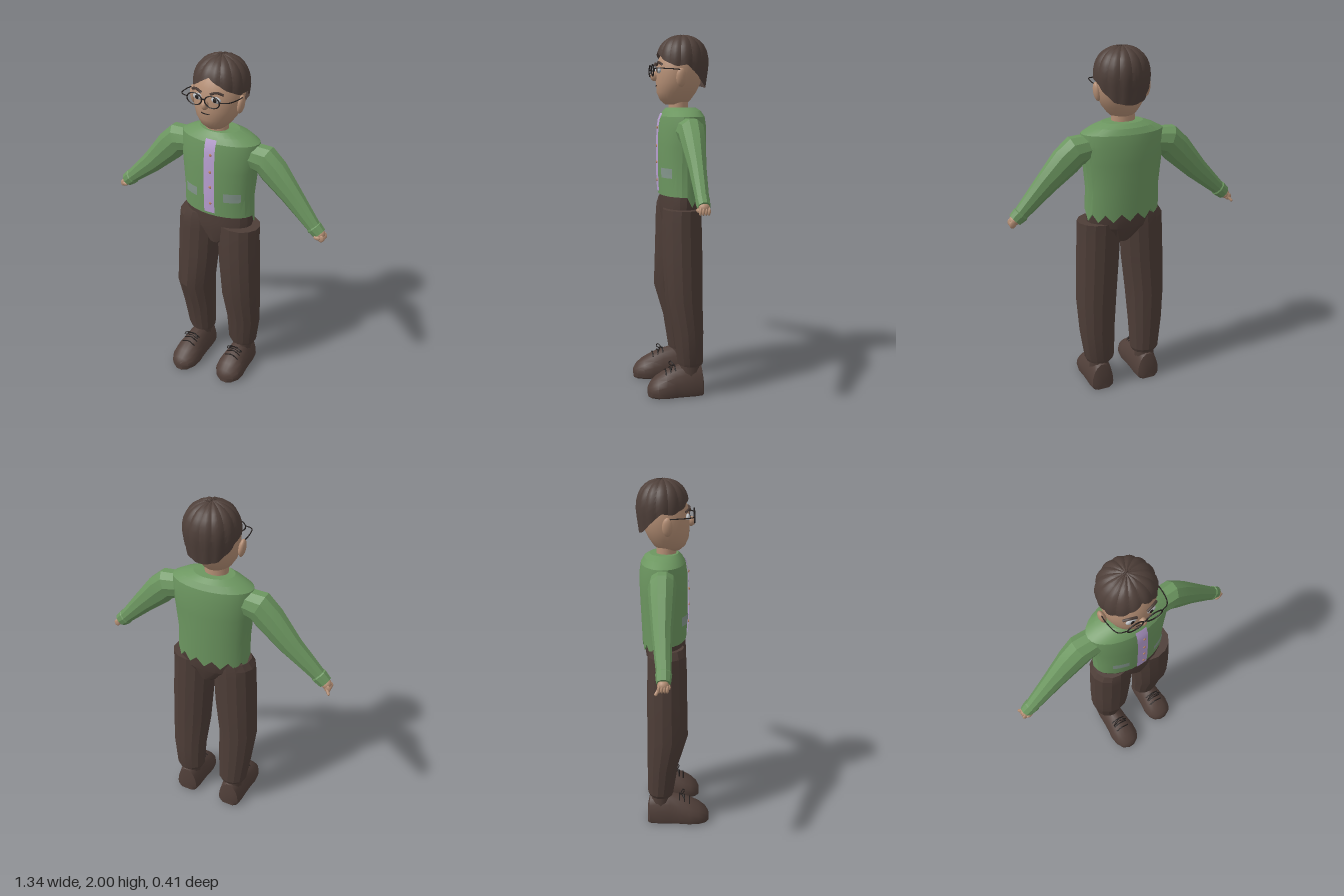
import * as THREE from 'three';
import { toCreasedNormals } from 'three/addons/utils/BufferGeometryUtils.js';

const V = (x, y, z) => new THREE.Vector3(x, y, z);
const mat = (name, color, side = THREE.FrontSide) => {
  const m = new THREE.MeshStandardMaterial({ color, side });
  m.name = name;
  return m;
};

// Skin a stack of closed rings; point(ring, angle, sideIndex) gives each corner
function loft(rings, sides, point, crease = 0.5, caps = true) {
  const pos = [], idx = [], n = rings.length;
  rings.forEach((r, i) => {
    for (let j = 0; j < sides; j++) pos.push(...point(r, (j / sides) * Math.PI * 2, j, i));
  });
  for (let i = 0; i < n - 1; i++) for (let j = 0; j < sides; j++) {
    const k = (j + 1) % sides, a = i * sides + j, b = i * sides + k;
    idx.push(a, b, b + sides, a, b + sides, a + sides);
  }
  if (caps) for (const [row, top] of [[0, false], [n - 1, true]]) {
    const c = pos.length / 3, mid = [0, 0, 0];
    for (let j = 0; j < sides; j++) for (let q = 0; q < 3; q++) mid[q] += pos[(row * sides + j) * 3 + q] / sides;
    pos.push(...mid);
    for (let j = 0; j < sides; j++) {
      const a = row * sides + j, b = row * sides + (j + 1) % sides;
      idx.push(c, top ? a : b, top ? b : a);
    }
  }
  const g = new THREE.BufferGeometry();
  g.setAttribute('position', new THREE.Float32BufferAttribute(pos, 3));
  g.setIndex(idx);
  return toCreasedNormals(g, crease);
}

// Upright oval ring: [y, cx, cz, rx, rz]
const oval = ([y, cx, cz, rx, rz], a) => [cx + rx * Math.sin(a), y, cz + rz * Math.cos(a)];

// Piecewise linear lookup in rows sorted by their first entry
function lookup(rows, t) {
  let i = 0;
  while (i < rows.length - 2 && t > rows[i + 1][0]) i++;
  const a = rows[i], b = rows[i + 1], f = THREE.MathUtils.clamp((t - a[0]) / (b[0] - a[0]), 0, 1);
  return a.map((v, k) => v + (b[k] - v) * f);
}

const JACKET = [
  [1.13, 0.025, -0.055, 0.215, 0.124], [1.25, 0.022, -0.055, 0.211, 0.13], [1.4, 0.022, -0.058, 0.225, 0.133],
  [1.5, 0.025, -0.06, 0.235, 0.132], [1.56, 0.025, -0.06, 0.23, 0.122], [1.59, 0.025, -0.06, 0.175, 0.104],
  [1.61, 0.02, -0.055, 0.115, 0.08],
];

// Thin plate wrapped on the jacket front
function jacketPlate(x0, x1, y0, y1, lift) {
  const g = new THREE.PlaneGeometry(x1 - x0, y1 - y0, 4, 12).translate((x0 + x1) / 2, (y0 + y1) / 2, 0);
  const p = g.attributes.position;
  for (let i = 0; i < p.count; i++) {
    const [, cx, cz, rx, rz] = lookup(JACKET, p.getY(i));
    p.setZ(i, cz + rz * Math.sqrt(Math.max(0, 1 - ((p.getX(i) - cx) / rx) ** 2)) + lift);
  }
  g.computeVertexNormals();
  return g;
}

export function createModel() {
  const model = new THREE.Group();
  const skin = mat('skin', 0xb58f75), green = mat('jacketGreen', 0x6c9660), brown = mat('trouserBrown', 0x4d3d37);
  const hairMat = mat('hairBrown', 0x4e3f39, THREE.DoubleSide), shoeMat = mat('shoeBrown', 0x503f39);
  const lilac = mat('lilac', 0xb9a0d2, THREE.DoubleSide), grey = mat('pocketGrey', 0x84968c, THREE.DoubleSide);
  const dark = mat('darkLine', 0x231e1d), white = mat('eyeGrey', 0xb9bcc0), orange = mat('buttonOrange', 0xb9805f);
  const add = (name, geo, m, p = [0, 0, 0], s = [1, 1, 1], r = [0, 0, 0]) => {
    const o = new THREE.Mesh(geo, m);
    o.name = name;
    o.position.set(...p); o.scale.set(...s); o.rotation.set(...r);
    model.add(o);
    return o;
  };
  const wire = (name, pts, radius, m) =>
    add(name, new THREE.TubeGeometry(new THREE.CatmullRomCurve3(pts.map((p) => V(...p))), 12, radius, 5), m);
  const ball = new THREE.SphereGeometry(1, 16, 12);

  // Jacket with a ragged hem across the back
  add('jacket', loft(JACKET, 28, (r, a, j, i) => {
    const p = oval(r, a);
    if (i === 0 && Math.cos(a) < -0.15) p[1] = j % 2 ? 1.12 : 1.075;
    return p;
  }, 0.3), green);
  add('placket', jacketPlate(0.002, 0.066, 1.15, 1.58, 0.007), lilac);
  for (const y of [1.5, 1.4, 1.31, 1.21])
    add('button', ball, orange, [0.042, y, lookup(JACKET, y)[2] + lookup(JACKET, y)[4] + 0.008], [0.008, 0.008, 0.004]);
  add('rightPocket', jacketPlate(-0.13, -0.045, 1.23, 1.283, 0.007), grey);
  add('leftPocket', jacketPlate(0.115, 0.2, 1.23, 1.283, 0.007), grey);

  // Sleeves: [x, y, z, in-plane radius, depth radius]
  const sleeves = {
    right: [[-0.15, 1.49, -0.06, 0.07, 0.07], [-0.245, 1.475, -0.062, 0.09, 0.074], [-0.3, 1.42, -0.062, 0.088, 0.068],
      [-0.43, 1.285, -0.06, 0.066, 0.052], [-0.585, 1.145, -0.05, 0.042, 0.038], [-0.59, 1.14, -0.05, 0.047, 0.042], [-0.628, 1.107, -0.05, 0.04, 0.036]],
    left: [[0.2, 1.49, -0.06, 0.07, 0.07], [0.29, 1.475, -0.068, 0.085, 0.07], [0.345, 1.425, -0.067, 0.084, 0.064],
      [0.455, 1.315, -0.065, 0.064, 0.046], [0.595, 1.168, -0.062, 0.041, 0.034], [0.6, 1.163, -0.062, 0.046, 0.037], [0.633, 1.135, -0.062, 0.039, 0.032]],
  };
  for (const side in sleeves) {
    const rows = sleeves[side];
    add(side + 'Sleeve', loft(rows, 10, ([x, y, z, ru, rz], a, j, i) => {
      const p = rows[Math.max(0, i - 1)], q = rows[Math.min(rows.length - 1, i + 1)];
      const len = Math.hypot(q[0] - p[0], q[1] - p[1]), s = Math.sin(a) * ru;
      return [x + s * (q[1] - p[1]) / len, y - s * (q[0] - p[0]) / len, z + rz * Math.cos(a)];
    }, 0.25), green);
    // Fist with four short fingers and a thumb
    const d = side === 'left' ? 1 : -1, hx = d * 0.636, hy = side === 'left' ? 1.133 : 1.1, hz = side === 'left' ? -0.062 : -0.052;
    add(side + 'Palm', ball, skin, [hx, hy, hz], [0.027, 0.028, 0.029]);
    for (let f = 0; f < 4; f++)
      add(side + 'Finger', ball, skin, [hx + d * 0.014, hy - 0.014, hz - 0.021 + f * 0.014], [0.018, 0.021, 0.008]);
    if (d < 0) add('rightForefinger', new THREE.CapsuleGeometry(0.008, 0.03, 3, 8), skin, [-0.655, 1.075, -0.08], [1, 1, 1], [0.6, 0, -0.6]);
    add(side + 'Thumb', ball, skin, [hx - d * 0.006, hy - 0.012, hz + 0.027], [0.02, 0.012, 0.01]);
  }

  // Trousers
  add('hips', loft([[0.94, 0.045, -0.04, 0.065, 0.09], [1.03, 0.03, -0.05, 0.195, 0.112], [1.08, 0.027, -0.053, 0.207, 0.115], [1.14, 0.025, -0.055, 0.207, 0.115]], 20, oval, 0.3), brown);
  add('rightTrouserLeg', loft([[0.18, -0.11, -0.078, 0.078, 0.072], [0.2, -0.112, -0.08, 0.088, 0.077], [0.38, -0.12, -0.066, 0.104, 0.09],
    [0.57, -0.125, -0.038, 0.115, 0.117], [0.8, -0.108, -0.04, 0.125, 0.114], [1.0, -0.098, -0.04, 0.126, 0.11], [1.06, -0.096, -0.042, 0.124, 0.108], [1.1, -0.09, -0.045, 0.105, 0.1]], 14, oval, 0.3), brown);
  add('leftTrouserLeg', loft([[0.18, 0.182, -0.085, 0.08, 0.07], [0.2, 0.181, -0.085, 0.09, 0.075], [0.38, 0.188, -0.072, 0.106, 0.085],
    [0.57, 0.181, -0.048, 0.119, 0.105], [0.8, 0.168, -0.042, 0.124, 0.112], [1.0, 0.157, -0.04, 0.126, 0.11], [1.06, 0.155, -0.042, 0.126, 0.108]], 14, oval, 0.3), brown);

  // Shoes: rings from heel to toe [z, half width, height]
  const shoe = [[-0.16, 0.045, 0.1], [-0.148, 0.066, 0.165], [-0.1, 0.074, 0.185], [-0.03, 0.076, 0.18], [0.03, 0.08, 0.165],
    [0.09, 0.088, 0.143], [0.145, 0.082, 0.112], [0.185, 0.06, 0.08], [0.205, 0.025, 0.05]];
  for (const [side, cx, len] of [['right', -0.113, 1], ['left', 0.183, 0.86]]) {
    const zAt = (z) => -0.158 + (z + 0.16) * len;
    add(side + 'Shoe', loft(shoe, 18, ([z, w, h], a) => {
      const s = Math.sin(a);
      return [cx + w * Math.cos(a), 0.035 + (s > 0 ? (h - 0.035) * s : 0.035 * Math.max(-1, s * 2)), zAt(z)];
    }, 0.6), shoeMat);
    add(side + 'Ankle', new THREE.CylinderGeometry(0.058, 0.06, 0.12, 12), brown, [cx, 0.18, -0.08]);
    for (const [z, y] of [[0.03, 0.165], [0.06, 0.155], [0.09, 0.143]])
      wire(side + 'Lace', [[cx - 0.045, y - 0.016, zAt(z)], [cx, y + 0.004, zAt(z)], [cx + 0.045, y - 0.016, zAt(z)]], 0.004, dark);
    for (const d of [-1, 1])
      wire(side + 'LaceBow', [[cx, 0.168, zAt(0.035)], [cx + d * 0.03, 0.183, zAt(0.05)], [cx + d * 0.05, 0.165, zAt(0.06)], [cx, 0.165, zAt(0.045)]], 0.003, dark);
  }

  // Head
  add('neck', new THREE.CylinderGeometry(0.064, 0.066, 0.13, 16), skin, [0.012, 1.605, -0.042], [1, 1, 0.85]);
  add('head', loft([[1.625, 0.015, -0.025, 0.05, 0.055], [1.65, 0.015, -0.025, 0.078, 0.085], [1.69, 0.018, -0.03, 0.107, 0.108],
    [1.74, 0.02, -0.04, 0.128, 0.123], [1.8, 0.022, -0.045, 0.136, 0.13], [1.86, 0.022, -0.05, 0.131, 0.122], [1.91, 0.022, -0.06, 0.112, 0.108],
    [1.95, 0.022, -0.06, 0.075, 0.07]], 28, oval, 1.2), skin);
  for (const [side, d] of [['right', -1], ['left', 1]]) {
    add(side + 'Ear', ball, skin, [0.014 + d * 0.141, 1.768, -0.035], [0.018, 0.05, 0.028], [0, 0, -d * 0.15]);
    const x = 0.018 + d * 0.052;
    add(side + 'Eye', ball, white, [x, 1.808, 0.072], [0.03, 0.017, 0.012]);
    add(side + 'Pupil', ball, dark, [x, 1.808, 0.082], [0.011, 0.012, 0.004]);
    wire(side + 'Eyebrow', [[x - d * 0.025, 1.838, 0.083], [x + d * 0.01, 1.85, 0.077], [x + d * 0.04, 1.838, 0.062]], 0.007, hairMat);
    // Spectacles
    add(side + 'Rim', new THREE.TorusGeometry(0.041, 0.0035, 6, 24), dark, [x, 1.808, 0.108], [1.05, 0.75, 1]);
    wire(side + 'Temple', [[x + d * 0.042, 1.814, 0.108], [0.016 + d * 0.135, 1.815, 0.092], [0.016 + d * 0.152, 1.812, 0.02], [0.016 + d * 0.15, 1.808, -0.035]], 0.003, dark);
  }
  wire('spectacleBridge', [[0.008, 1.812, 0.108], [0.018, 1.816, 0.111], [0.028, 1.812, 0.108]], 0.0035, dark);
  add('nose', ball, skin, [0.018, 1.778, 0.09], [0.018, 0.026, 0.024]);
  wire('mouth', [[-0.012, 1.728, 0.078], [0.025, 1.727, 0.08], [0.06, 1.738, 0.072]], 0.0035, dark);

  // Ridged hair cap whose lower edge follows the hairline
  const hairline = [[0, 1.915], [0.3, 1.89], [0.7, 1.855], [1.2, 1.825], [1.6, 1.835], [2, 1.785], [2.5, 1.73], [Math.PI, 1.715]];
  const steps = Array.from({ length: 11 }, (_, i) => i / 10);
  add('hair', loft(steps, 56, (t, a) => {
    const edge = lookup(hairline, a > Math.PI ? 2 * Math.PI - a : a)[1];
    const y = edge + (2 - edge) * Math.sin(t * Math.PI / 2);
    const k = (y - 1.84) / 0.16;
    const r = k > 0 ? Math.pow(Math.max(0, 1 - k ** 2.5), 0.45) : 1 + k * 0.15;
    const ridge = 0.965 + 0.045 * Math.abs(Math.sin(a * 7));
    return [0.026 + 0.149 * r * ridge * Math.sin(a), y - (1 - ridge) * 0.1 * t, -0.062 + 0.144 * r * ridge * Math.cos(a)];
  }, 0.45, false), hairMat);

  return model;
}
